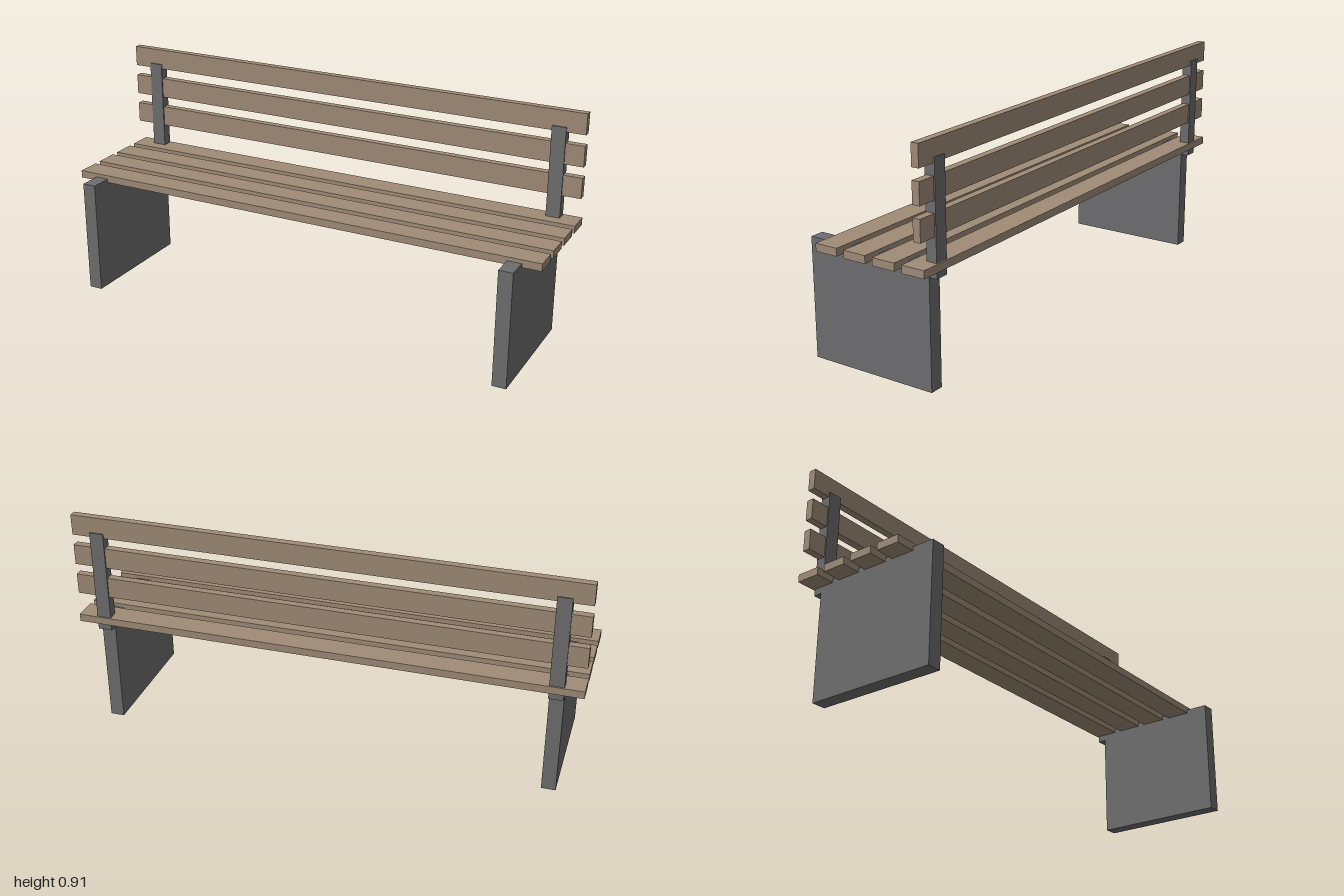
import * as THREE from 'three';

export function createModel() {
  const bench = new THREE.Group();
  bench.name = 'bench';

  const wood = new THREE.MeshStandardMaterial({ color: 0xa08c78 });
  wood.name = 'wood';
  const metal = new THREE.MeshStandardMaterial({ color: 0x6e6e70 });
  metal.name = 'grey metal';

  const addBox = (name, material, [w, h, d], [x, y, z]) => {
    const mesh = new THREE.Mesh(new THREE.BoxGeometry(w, h, d), material);
    mesh.name = name;
    mesh.position.set(x, y, z);
    bench.add(mesh);
  };

  // Seat slats, front to back
  for (let i = 0; i < 4; i++) {
    addBox(`seatSlat${i + 1}`, wood, [2, 0.03, 0.095], [0, 0.464, 0.1445 - i * 0.1263]);
  }

  // Backrest slats, bottom to top
  for (let i = 0; i < 3; i++) {
    addBox(`backSlat${i + 1}`, wood, [2, 0.083, 0.03], [0, 0.6115 + i * 0.1268, -0.255]);
  }

  // Slab legs and backrest posts on both sides
  for (const [side, x] of [['left', 0.897], ['right', -0.897]]) {
    addBox(`${side}Leg`, metal, [0.056, 0.464, 0.525], [x, 0.232, 0.0195]);
    addBox(`${side}BackPost`, metal, [0.056, 0.42, 0.041], [x, 0.633, -0.255]);
  }

  return bench;
}
